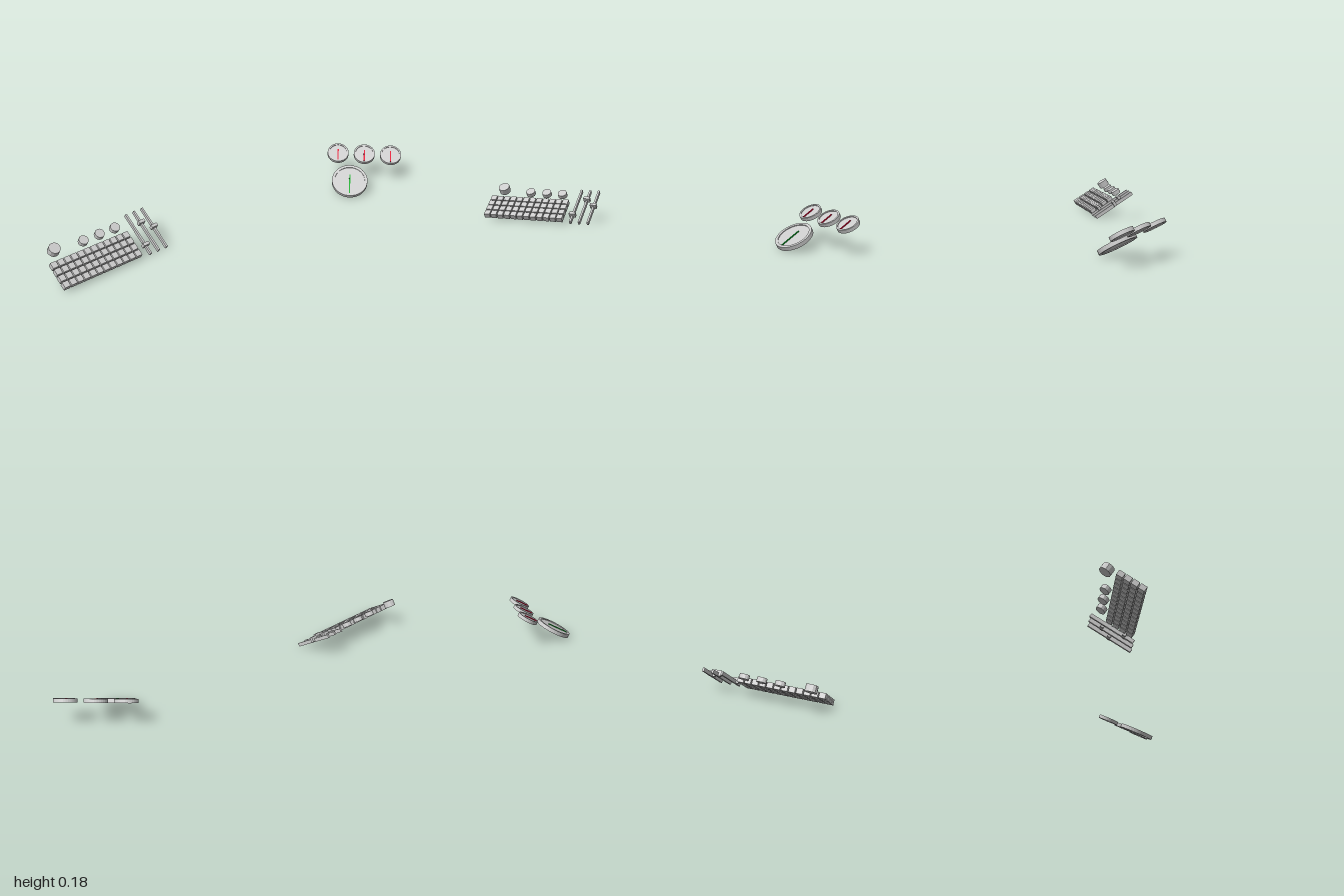
import * as THREE from 'three';

const grey = new THREE.MeshStandardMaterial({ color: 0xcccccc, flatShading: true });
const green = new THREE.MeshStandardMaterial({ color: 0x00aa22 });
const red = new THREE.MeshStandardMaterial({ color: 0xe00030 });

function add(parent, name, geometry, x, y, z, material = grey) {
  const mesh = new THREE.Mesh(geometry, material);
  mesh.name = name;
  mesh.position.set(x, y, z);
  parent.add(mesh);
  return mesh;
}

// Sloping control desk: key grid, rotary knobs and faders
function createDesk() {
  const desk = new THREE.Group();
  desk.name = 'controlDesk';
  desk.position.set(0, 0.079, -0.132);
  desk.rotation.x = 0.565;

  // Key grid, 12 by 4
  const pitch = 0.037;
  const key = new THREE.BoxGeometry(0.031, 0.027, 0.031);
  for (let row = 0; row < 4; row++) {
    for (let col = 0; col < 12; col++) {
      add(desk, 'key', key, -0.984 + col * pitch, 0.0016, 0.038 + (row - 1.5) * pitch);
    }
  }

  // One large knob and three small ones
  add(desk, 'largeKnob', new THREE.CylinderGeometry(0.0295, 0.0295, 0.034, 12), -0.946, 0.0126, -0.089);
  const smallKnob = new THREE.CylinderGeometry(0.0245, 0.0245, 0.023, 12);
  for (const x of [-0.79, -0.698, -0.609]) add(desk, 'smallKnob', smallKnob, x, 0.0096, -0.075);

  // Faders: rail with a sliding cap
  const rail = new THREE.BoxGeometry(0.01, 0.0185, 0.239);
  const cap = new THREE.BoxGeometry(0.034, 0.027, 0.016);
  [0.067, -0.05, -0.005].forEach((slide, i) => {
    const x = -0.513 + i * 0.048;
    add(desk, 'faderRail', rail, x, 0, 0);
    add(desk, 'faderCap', cap, x, 0.0075, slide);
  });
  return desk;
}

// Round dial: rim ring, recessed face and needle, tilted towards the middle
function createDial(name, radius, thickness, x, y, z, needleMaterial) {
  const dial = new THREE.Group();
  dial.name = name;
  dial.position.set(x, y, z);
  const normal = new THREE.Vector3(-0.354, 0.866, 0.354).normalize();
  dial.quaternion.setFromUnitVectors(new THREE.Vector3(0, 1, 0), normal);

  const h = thickness / 2;
  const inner = radius * 0.85;
  const profile = [[inner, -h], [radius, -h], [radius, h], [inner, h], [inner, -h]]
    .map(([r, v]) => new THREE.Vector2(r, v));
  add(dial, 'rim', new THREE.LatheGeometry(profile, 32), 0, 0, 0);
  add(dial, 'face', new THREE.CylinderGeometry(inner, inner, h * 1.2, 32), 0, 0, 0);

  const offset = -radius * 0.16;
  const needle = add(dial, 'needle', new THREE.BoxGeometry(radius * 1.2, 0.004, 0.006),
    offset, h * 0.6 + 0.002, -offset, needleMaterial);
  needle.rotation.y = Math.PI / 4;
  return dial;
}

export function createModel() {
  const model = new THREE.Group();
  model.name = 'controlSet';
  model.add(createDesk());
  model.add(createDial('largeDial', 0.0945, 0.021, 0.685, 0.058, 0.135, green));
  for (let i = 0; i < 3; i++) {
    model.add(createDial('smallDial', 0.0565, 0.019, 0.743 + i * 0.1, 0.146, -0.018 + i * 0.1, red));
  }
  return model;
}
